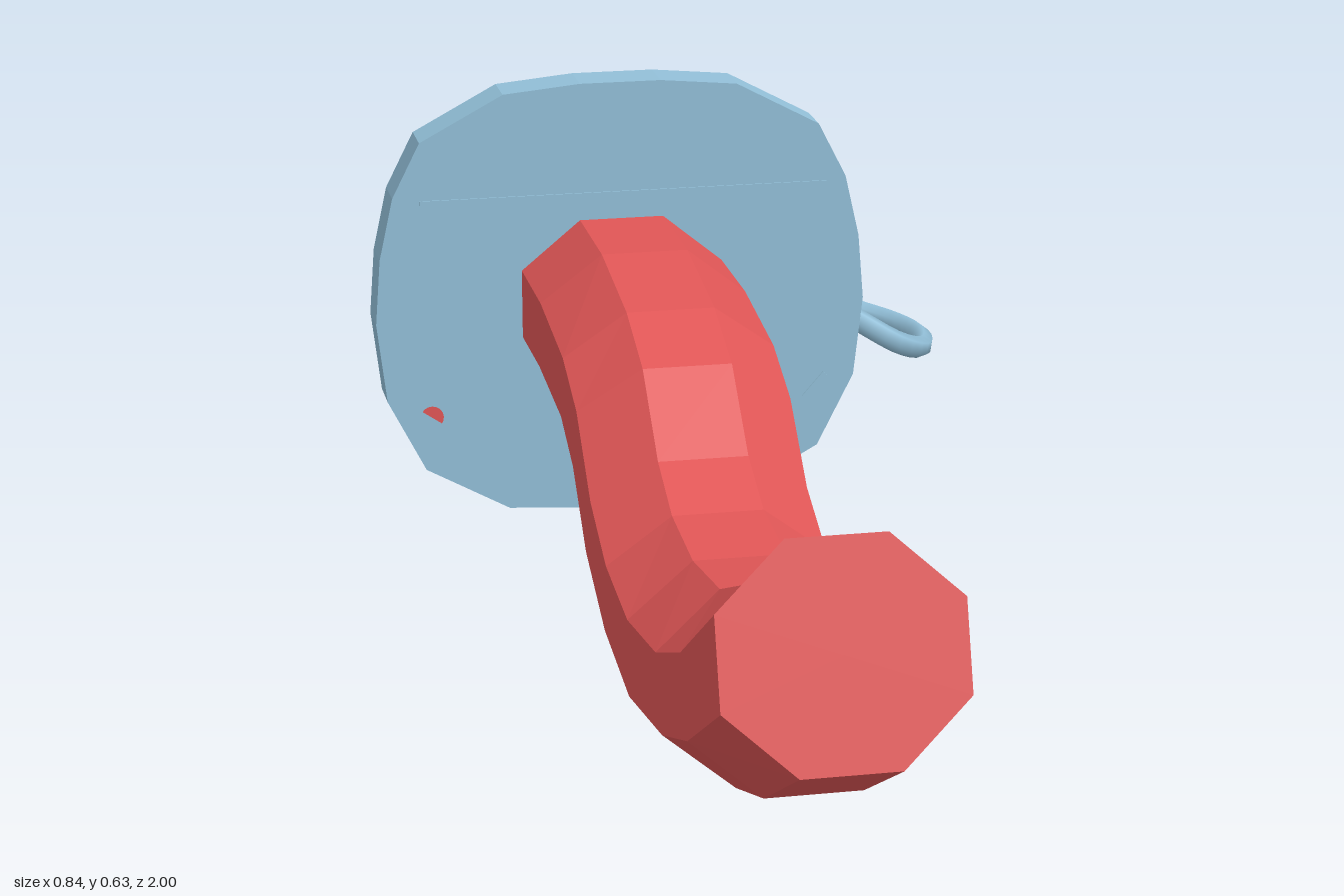
import * as THREE from 'three';

const CX = -0.085; // main axis of the body

// Faceted skin over closed rings, listed from front (+z) to back, each counter-clockwise seen from +z
function loft(rings) {
  const pos = [];
  const tri = (...pts) => pts.forEach((p) => pos.push(p.x, p.y, p.z));
  const n = rings[0].length;
  for (let i = 0; i < rings.length - 1; i++) {
    for (let j = 0; j < n; j++) {
      const k = (j + 1) % n;
      const a = rings[i][j], b = rings[i][k], c = rings[i + 1][k], d = rings[i + 1][j];
      tri(a, d, b);
      tri(b, d, c);
    }
  }
  const middle = (r) => r.reduce((s, p) => s.add(p), new THREE.Vector3()).divideScalar(n);
  const first = rings[0], last = rings[rings.length - 1];
  const cf = middle(first), cb = middle(last);
  for (let j = 0; j < n; j++) {
    const k = (j + 1) % n;
    tri(cf, first[j], first[k]);
    tri(cb, last[k], last[j]);
  }
  const g = new THREE.BufferGeometry();
  g.setAttribute('position', new THREE.Float32BufferAttribute(pos, 3));
  g.computeVertexNormals();
  return g;
}

// Polygon ring with a flat top; r is measured to the flats
function polygon(sides, r, y, z) {
  const pts = [];
  for (let k = 0; k < sides; k++) {
    const a = ((k + 0.5) / sides) * Math.PI * 2;
    const s = r / Math.cos(Math.PI / sides);
    pts.push(new THREE.Vector3(CX + Math.cos(a) * s, y + Math.sin(a) * s, z));
  }
  return pts;
}

export function createModel() {
  const model = new THREE.Group();
  const red = new THREE.MeshStandardMaterial({ color: 0xe05656 });
  red.name = 'red';
  const blue = new THREE.MeshStandardMaterial({ color: 0x92bfd8 });
  blue.name = 'light blue';
  const add = (name, geometry, material) => {
    const mesh = new THREE.Mesh(geometry, material);
    mesh.name = name;
    model.add(mesh);
    return mesh;
  };

  // Curved octagonal shaft: upper z, y and lower z, y of each section
  const sections = [
    [0.92, 0.43, 1.0, 0.187], [0.73, 0.31, 0.82, 0.09], [0.58, 0.25, 0.67, 0.04],
    [0.42, 0.228, 0.44, 0.0], [0.29, 0.24, 0.26, 0.027], [0.2, 0.28, 0.11, 0.09],
    [0.1, 0.37, 0.02, 0.17], [-0.01, 0.412, -0.06, 0.207], [-0.19, 0.44, -0.23, 0.217],
    [-0.37, 0.442, -0.37, 0.215],
  ];
  add('curvedShaft', loft(sections.map(([zt, yt, zb, yb]) =>
    polygon(8, 1, 0, 0).map((p) => new THREE.Vector3(
      CX + (p.x - CX) * 0.138,
      (yt + yb) / 2 + (p.y * (yt - yb)) / 2,
      (zt + zb) / 2 + (p.y * (zt - zb)) / 2)))), red);

  // Rounded-square shield: right half of the outline from bottom to top, mirrored
  const half = [
    [0.055, -0.3], [0.16, -0.293], [0.274, -0.23], [0.325, -0.13], [0.338, -0.02],
    [0.331, 0.07], [0.312, 0.155], [0.274, 0.23], [0.16, 0.291], [0.055, 0.301],
  ];
  const outline = [...half, ...half.map(([x, y]) => [-x, y]).reverse()];
  const shieldRing = (z, s) => outline.map(([x, y]) => new THREE.Vector3(CX + x * s, 0.33 + y * s, z));
  const shieldCore = outline.map(([x, y]) => {
    const l = 0.145 / Math.hypot(x, y);
    return new THREE.Vector3(CX + x * l, 0.34 + y * l, -0.525);
  });
  add('shield', loft([shieldRing(-0.36, 1), shieldRing(-0.425, 1), shieldRing(-0.485, 0.88), shieldCore]), blue);

  // Handle with flared base, and its knob
  const turned = (sides, profile) => loft(profile.map(([z, r]) => polygon(sides, r, 0.343, z)));
  add('handle', turned(8, [[-0.5, 0.15], [-0.525, 0.14], [-0.65, 0.084], [-0.93, 0.08]]), blue);
  add('knob', turned(10, [[-0.91, 0.09], [-0.95, 0.122], [-0.985, 0.108], [-0.997, 0.05], [-1.0, 0.005]]), blue);

  // Ring of cord around the handle
  const ring = add('cordRing', new THREE.TorusGeometry(0.096, 0.015, 6, 16), blue);
  ring.position.set(CX, 0.348, -0.715);

  // Loose loop of cord hanging from the ring
  const path = [
    [0, 0.3, -0.715], [0.1, 0.285, -0.71], [0.165, 0.265, -0.67], [0.235, 0.25, -0.58],
    [0.285, 0.228, -0.525], [0.34, 0.195, -0.515], [0.385, 0.172, -0.555], [0.404, 0.167, -0.63],
    [0.385, 0.167, -0.7], [0.34, 0.175, -0.745], [0.27, 0.197, -0.765], [0.19, 0.235, -0.76],
    [0.125, 0.27, -0.74], [0.1, 0.285, -0.71],
  ].map((p) => new THREE.Vector3(...p));
  add('cordLoop', new THREE.TubeGeometry(new THREE.CatmullRomCurve3(path), 48, 0.016, 6), blue);

  // Small marks on the shield face
  const seam = add('seam', new THREE.BoxGeometry(0.56, 0.006, 0.004), blue);
  seam.position.set(-0.08, 0.477, -0.36);
  const dot = add('redDot', new THREE.CircleGeometry(0.016, 10, -0.6, Math.PI), red);
  dot.position.set(-0.35, 0.175, -0.358);
  const notch = add('notch', new THREE.BoxGeometry(0.045, 0.008, 0.004), blue);
  notch.position.set(0.185, 0.187, -0.36);
  notch.rotation.z = 0.85;

  return model;
}
